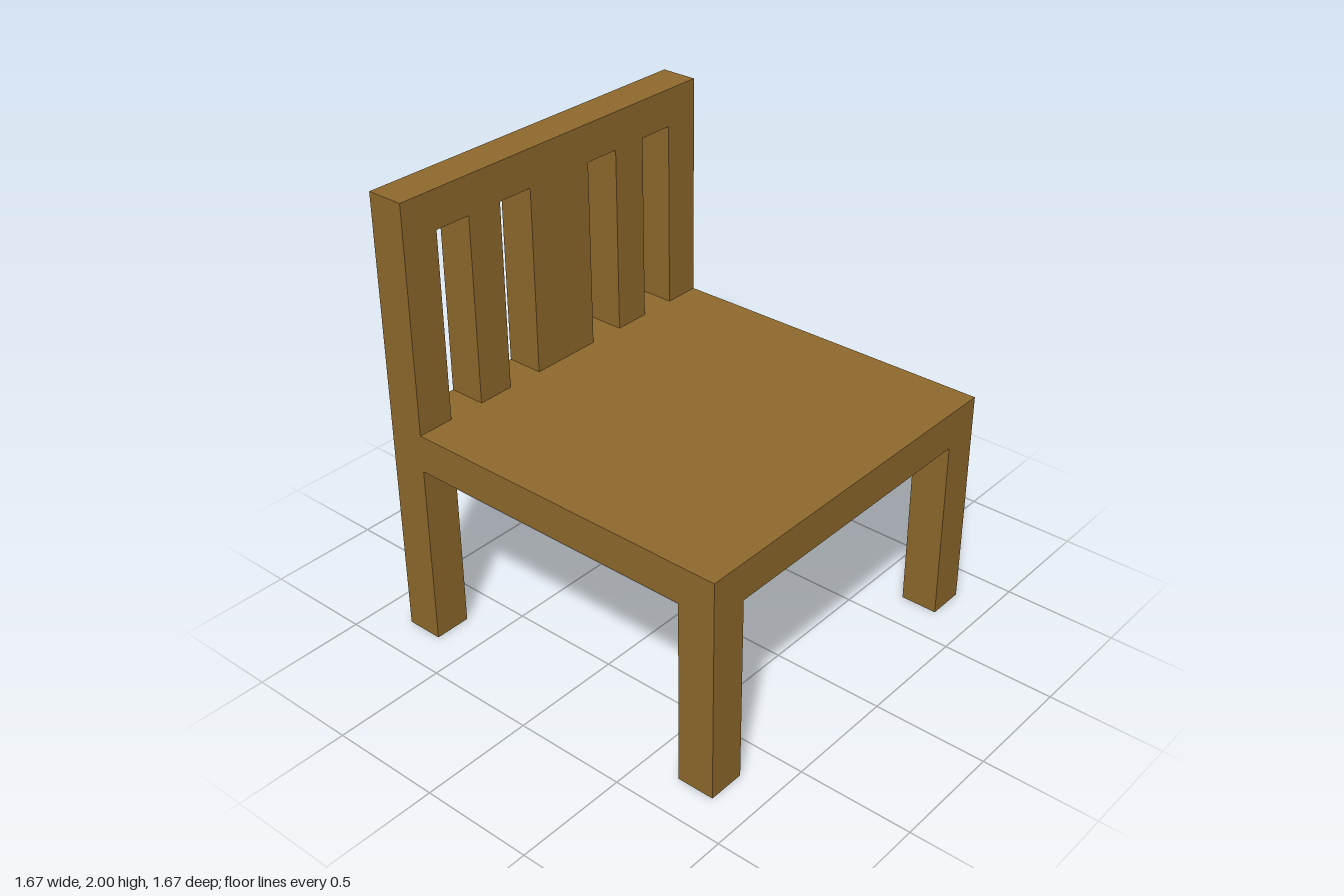
import * as THREE from 'three';

const U = 1 / 6; // every part of the chair is a whole number of these units

export function createModel() {
  const chair = new THREE.Group();
  chair.name = 'chair';
  const wood = new THREE.MeshStandardMaterial({ color: 0x8f6a2c });
  wood.name = 'brown wood';

  // Box sized in units, placed by the centre of its base
  function block(name, w, h, d, x, y, z, parent = chair) {
    const mesh = new THREE.Mesh(new THREE.BoxGeometry(w * U, h * U, d * U), wood);
    mesh.name = name;
    mesh.position.set(x * U, (y + h / 2) * U, z * U);
    parent.add(mesh);
  }

  // Seat slab on four corner legs
  block('seat', 10, 1, 10, 0, 5, 0);
  for (const [side, sx] of [['Left', 1], ['Right', -1]]) {
    block('front' + side + 'Leg', 1, 5, 1, sx * 4.5, 0, 4.5);
    block('back' + side + 'Leg', 1, 5, 1, sx * 4.5, 0, -4.5);
  }

  // Backrest: top rail, wide centre slat, and a slat and post on each side
  const backrest = new THREE.Group();
  backrest.name = 'backrest';
  chair.add(backrest);
  block('topRail', 10, 1, 1, 0, 11, -4.5, backrest);
  block('centreSlat', 2, 5, 1, 0, 6, -4.5, backrest);
  for (const [side, sx] of [['left', 1], ['right', -1]]) {
    block(side + 'Slat', 1, 5, 1, sx * 2.5, 6, -4.5, backrest);
    block(side + 'Post', 1, 5, 1, sx * 4.5, 6, -4.5, backrest);
  }

  return chair;
}
